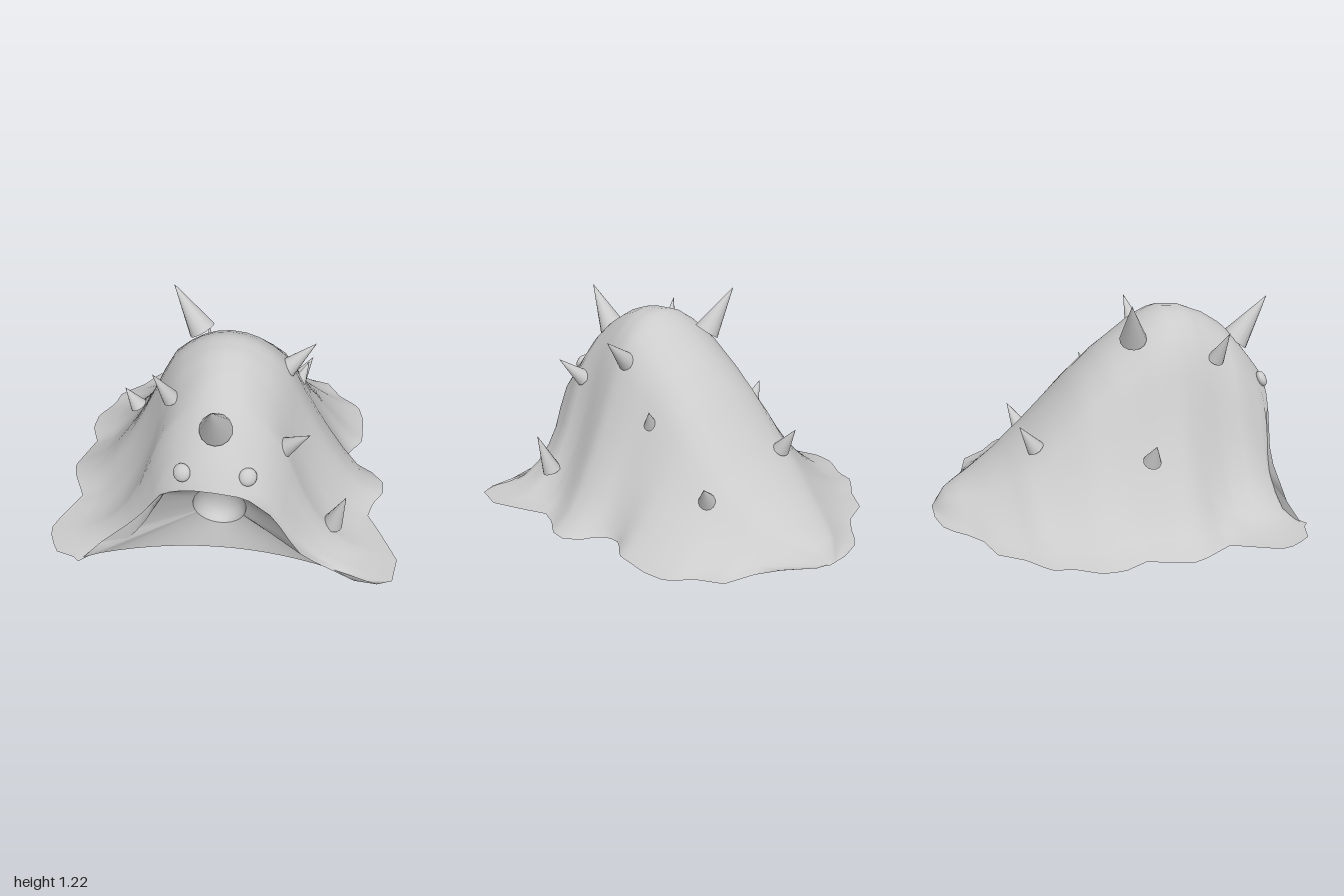
import * as THREE from 'three';
import { mergeVertices } from 'three/addons/utils/BufferGeometryUtils.js';

const material = new THREE.MeshStandardMaterial({ color: 0xcccccc, side: THREE.DoubleSide });
const V = (x, y, z) => new THREE.Vector3(x, y, z);

// Ridge height and smooth half width along z
const RIDGE = [[-1, 0], [-0.92, 0.1], [-0.75, 0.17], [-0.6, 0.27], [-0.45, 0.4], [-0.3, 0.56],
  [-0.15, 0.73], [0, 0.87], [0.2, 1.02], [0.3, 1.075], [0.36, 1.09], [0.48, 1.08], [0.6, 1.03],
  [0.72, 0.95], [0.8, 0.87], [0.9, 0.74], [0.95, 0.67], [1, 0.59]];
const WIDTH = [[-1, 0.05], [-0.9, 0.3], [-0.75, 0.52], [-0.5, 0.77], [-0.2, 0.85], [0.2, 0.88],
  [0.6, 0.88], [0.8, 0.93], [1, 0.8]];
// Scalloped hem on each side: [z, x]
const LEFT_HEM = [[-1, -0.02], [-0.99, 0.07], [-0.85, 0.25], [-0.78, 0.38], [-0.73, 0.55], [-0.6, 0.63],
  [-0.5, 0.75], [-0.37, 0.78], [-0.15, 0.77], [-0.05, 0.69], [0.03, 0.7], [0.09, 0.76], [0.12, 0.83],
  [0.2, 0.89], [0.29, 0.89], [0.38, 0.83], [0.48, 0.8], [0.62, 0.87], [0.8, 0.95], [0.95, 0.92],
  [0.98, 0.84]];
const RIGHT_HEM = [[-1, -0.1], [-0.97, -0.22], [-0.9, -0.31], [-0.83, -0.36], [-0.78, -0.43],
  [-0.73, -0.58], [-0.6, -0.67], [-0.49, -0.8], [-0.38, -0.82], [-0.25, -0.9], [-0.13, -0.91],
  [0, -0.86], [0.23, -0.94], [0.31, -0.92], [0.48, -0.84], [0.73, -0.95], [0.82, -0.94],
  [0.92, -0.88], [0.96, -0.75]];
// Cross-section: height from ridge (1) to hem (0)
const SECTION = [[0, 1], [0.09, 0.99], [0.17, 0.965], [0.25, 0.92], [0.33, 0.86], [0.4, 0.75],
  [0.47, 0.62], [0.55, 0.48], [0.64, 0.34], [0.75, 0.19], [0.87, 0.06], [1, 0]];
// Upper lip of the mouth: height and depth by x
const LIP_Y = [[-0.73, 0], [-0.65, 0.07], [-0.43, 0.27], [-0.28, 0.5], [-0.15, 0.57], [0, 0.59],
  [0.15, 0.56], [0.29, 0.41], [0.42, 0.14], [0.52, 0.06], [0.68, 0]];
const LIP_Z = [[-0.73, 0.95], [-0.65, 0.91], [-0.43, 0.89], [-0.28, 0.93], [-0.15, 0.97], [0, 1],
  [0.15, 0.99], [0.29, 0.96], [0.42, 0.93], [0.52, 0.92], [0.68, 0.93]];

// Linear lookup in a list of [key, value]
function lookup(table, key) {
  let i = 0;
  while (i < table.length - 2 && key > table[i + 1][0]) i++;
  const [a, low] = table[i], [b, high] = table[i + 1];
  return THREE.MathUtils.lerp(low, high, THREE.MathUtils.clamp((key - a) / (b - a), 0, 1));
}

// Smooth skin over rows of equal length
function skin(rows, closed) {
  const n = rows[0].length, index = [];
  for (let i = 0; i < rows.length - 1; i++) {
    for (let j = 0; j < (closed ? n : n - 1); j++) {
      const k = (j + 1) % n;
      const a = i * n + j, b = a + n, c = (i + 1) * n + k, d = i * n + k;
      index.push(a, b, d, b, c, d);
    }
  }
  const geometry = new THREE.BufferGeometry().setFromPoints(rows.flat());
  geometry.setIndex(index);
  const merged = mergeVertices(geometry, 1e-5);
  merged.computeVertexNormals();
  return merged;
}

const COLUMNS = [...SECTION.slice(1).map(([u]) => -u).reverse(), ...SECTION.map(([u]) => u)];
const LIP = COLUMNS.map((c) => {
  const x = c > 0 ? c * 0.68 : c * 0.73;
  return V(x, lookup(LIP_Y, x), lookup(LIP_Z, x));
});

// One cross-section of the body, sweeping from ridge depth to hem depth
function bodyRow(ridgeZ, hemZ) {
  const height = lookup(RIDGE, ridgeZ), width = lookup(WIDTH, hemZ);
  const sharpness = 1 + 0.95 * THREE.MathUtils.smoothstep(ridgeZ, 0.3, 0.75);
  return COLUMNS.map((c) => {
    const u = Math.abs(c), side = Math.sign(c);
    const hem = lookup(side > 0 ? LEFT_HEM : RIGHT_HEM, hemZ);
    const x = THREE.MathUtils.lerp(side * width, hem, u ** 4) * u;
    let z = THREE.MathUtils.lerp(ridgeZ, hemZ, u ** 3);
    // Stay behind the lip so the front does not fold over it
    if (Math.abs(x) < 0.68) z = Math.min(z, lookup(LIP_Z, x) - 0.1 * (1 - ridgeZ));
    return V(x, height * lookup(SECTION, u) ** sharpness, z);
  });
}

function bodyGeometry() {
  const rows = [];
  for (const z of [-1, -0.97, -0.92, -0.85, -0.78, -0.73, -0.66]) rows.push(bodyRow(z, z));
  for (let z = -0.6; z < 0.61; z += 0.04) rows.push(bodyRow(z, z));
  // Front corners flare ahead of the ridge
  for (const [r, h] of [[0.66, 0.68], [0.7, 0.74], [0.74, 0.8], [0.8, 0.87], [0.85, 0.92], [0.9, 0.95], [0.95, 0.98]]) {
    rows.push(bodyRow(r, h));
  }
  return skin([...rows, LIP], false);
}

// Mouth wall standing on a slightly bowed floor line, with an oval throat
function mouthRings() {
  const floor = [];
  for (let i = 1; i < 16; i++) {
    const x = THREE.MathUtils.lerp(0.68, -0.73, i / 16);
    floor.push(V(x, 0, 0.94 - 0.14 * (1 - (x / 0.73) ** 2)));
  }
  const rim = [...LIP, ...floor];
  const oval = (size, depth) => rim.map((p) => {
    const a = Math.atan2(p.y - 0.34, p.x);
    const y = Math.sin(a) * 0.175 * size;
    return V(Math.cos(a) * 0.14 * size, 0.34 + y, 0.83 + y * 0.3 - depth);
  });
  const edge = oval(1, 0);
  const wall = [0, 0.25, 0.5, 0.75, 1].map((t) => rim.map((p, j) => p.clone().lerp(edge[j], t)));
  const throat = [0, 1, 2, 3, 4, 5].map((i) => {
    const a = (i / 5) * Math.PI / 2;
    return oval(Math.cos(a), 0.1 * Math.sin(a));
  });
  return { wall, throat };
}

// Spikes: base centre, tip, base radius
const SPIKES = [
  ['browHorn', [-0.015, 0.84, 0.81], [-0.015, 1.095, 1], 0.085],
  ['crownHorn', [-0.165, 0.97, 0.14], [-0.32, 1.215, 0.08], 0.075],
  ['rightBrowSpike', [-0.27, 0.84, 0.59], [-0.355, 1.02, 0.63], 0.047],
  ['leftCrownSpike', [0.3, 0.86, 0.3], [0.455, 1.02, 0.28], 0.056],
  ['leftCheekSpike', [0.32, 0.65, 0.69], [0.45, 0.79, 0.75], 0.052],
  ['leftFootSpike', [0.595, 0.13, 0.69], [0.655, 0.365, 0.73], 0.056],
  ['rightFlankSpike', [-0.55, 0.41, 0.13], [-0.62, 0.535, 0.13], 0.05],
  ['leftFlankSpike', [0.37, 0.58, 0.03], [0.42, 0.69, -0.015], 0.038],
  ['leftBackSpike', [0.35, 0.26, -0.4], [0.44, 0.4, -0.465], 0.055],
  ['rightBackSpike', [-0.2, 0.4, -0.43], [-0.215, 0.55, -0.52], 0.05],
];

function spikeGeometry(base, tip, radius) {
  const from = V(...base), axis = V(...tip).sub(from), length = axis.length();
  const geometry = new THREE.ConeGeometry(radius, length, 14, 1, true);
  geometry.translate(0, length / 2, 0);
  geometry.applyQuaternion(new THREE.Quaternion().setFromUnitVectors(V(0, 1, 0), axis.normalize()));
  return geometry.translate(from.x, from.y, from.z);
}

export function createModel() {
  const model = new THREE.Group();
  model.name = 'spikyCreature';
  const add = (name, geometry) => {
    const mesh = new THREE.Mesh(geometry, material);
    mesh.name = name;
    model.add(mesh);
    return mesh;
  };

  add('body', bodyGeometry());
  const { wall, throat } = mouthRings();
  add('mouthWall', skin(wall, true));
  add('throat', skin(throat, true));

  for (const [name, base, tip, radius] of SPIKES) add(name, spikeGeometry(base, tip, radius));

  // Flattened bead eyes above the lip
  for (const side of [-1, 1]) {
    const eye = add(side > 0 ? 'leftEye' : 'rightEye', new THREE.SphereGeometry(0.047, 14, 10));
    eye.position.set(side * 0.165 - 0.01, 0.645, 0.925);
    eye.rotation.set(-0.5, side * 0.3, 0);
    eye.scale.z = 0.6;
  }
  return model;
}
